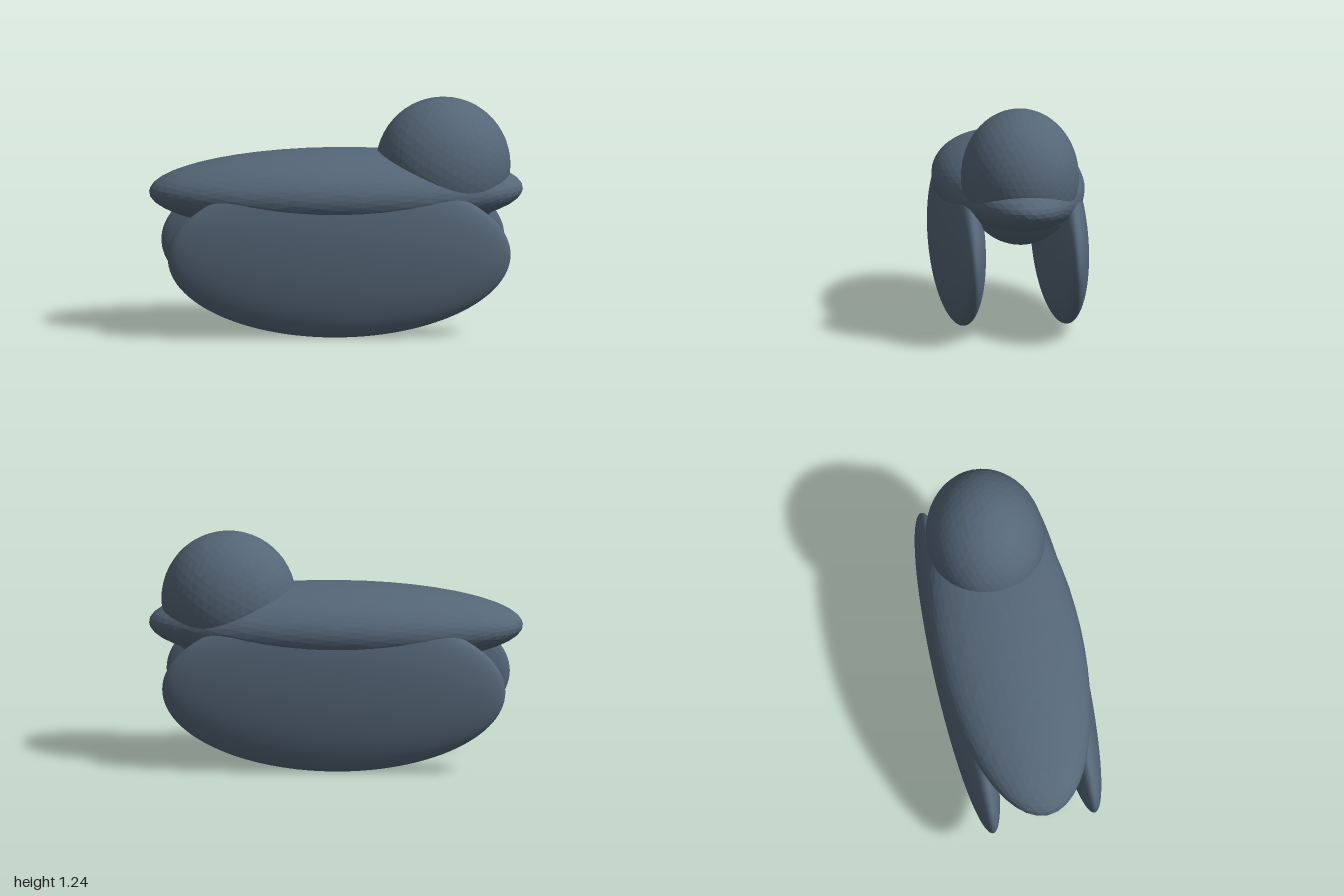
import * as THREE from 'three';

const slate = new THREE.MeshStandardMaterial({ color: 0x556677 });
slate.name = 'slate blue';

// Ellipsoid from a subdivided icosahedron, faceted or smooth
function ellipsoid(name, centre, radii, faceted) {
  const geometry = new THREE.IcosahedronGeometry(1, faceted ? 8 : 19);
  geometry.scale(...radii);
  if (faceted) geometry.computeVertexNormals(); // unshared corners give flat facets
  const mesh = new THREE.Mesh(geometry, slate);
  mesh.name = name;
  mesh.position.set(...centre);
  return mesh;
}

export function createModel() {
  const model = new THREE.Group();
  model.name = 'model';

  // Long flattened body with a rounded head sunk into one end
  model.add(ellipsoid('body', [0, 0.75, 0], [1, 0.22, 0.397], true));
  model.add(ellipsoid('head', [0.573, 0.88, 0], [0.36, 0.365, 0.315], true));

  // Thin upright side lobes, mirrored front to back
  for (const side of [1, -1]) {
    model.add(ellipsoid(side > 0 ? 'frontSide' : 'backSide',
      [0, 0.44, side * 0.277], [0.917, 0.44, 0.121], false));
  }
  return model;
}
